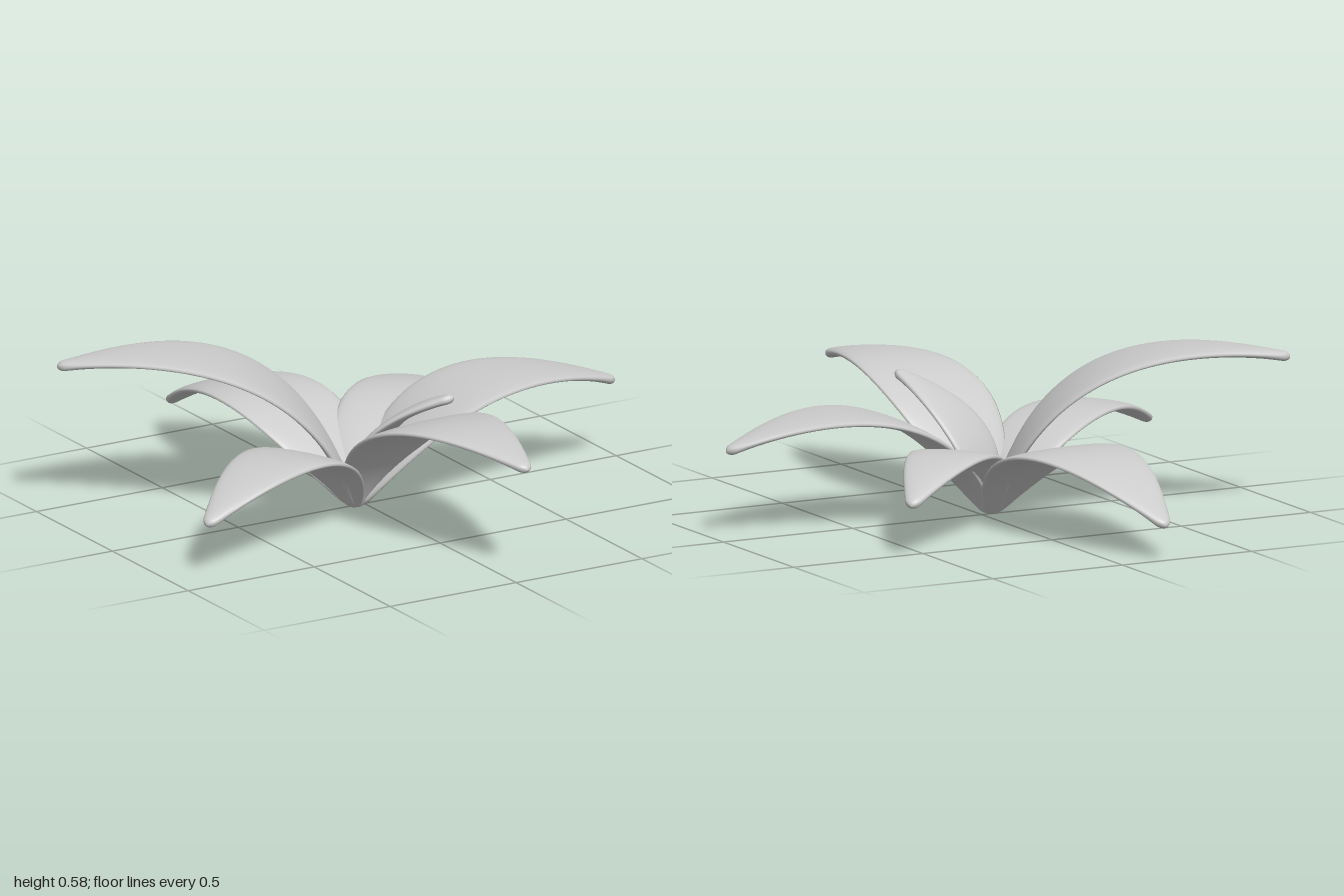
import * as THREE from 'three';

const RINGS = 48, SIDES = 24, HALF_THICK = 0.017;

// One petal growing along +z: an arched midrib swept with a flat rounded section
function petalGeometry(length, tipY, ctrlZ, ctrlY, halfWidth) {
  const rib = new THREE.QuadraticBezierCurve3(
    new THREE.Vector3(0, 0.012, 0.008),
    new THREE.Vector3(0, ctrlY, ctrlZ),
    new THREE.Vector3(0, tipY, length));
  const arc = rib.getLength();
  const cap = 0.025;
  const pos = [], index = [];
  for (let i = 0; i <= RINGS; i++) {
    const u = (1 - Math.cos(Math.PI * i / RINGS)) / 2;
    const p = rib.getPointAt(u), t = rib.getTangentAt(u);
    // Round off both ends
    const d = Math.min(1, Math.min(u, 1 - u) * arc / cap);
    const round = Math.sqrt(Math.max(0, 1 - (1 - d) ** 2));
    const blade = Math.max(0, Math.sin(Math.PI * u ** 0.85));
    const w = (0.02 + (halfWidth - 0.02) * blade) * round;
    const h = HALF_THICK * round;
    for (let j = 0; j < SIDES; j++) {
      const a = 2 * Math.PI * j / SIDES;
      const s = Math.sin(a);
      const n = h * Math.sign(s) * Math.abs(s) ** 0.8;
      pos.push(w * Math.cos(a), p.y + n * t.z, p.z - n * t.y);
      if (i < RINGS) {
        const k = (j + 1) % SIDES, r = i * SIDES, q = r + SIDES;
        index.push(r + j, r + k, q + j, r + k, q + k, q + j);
      }
    }
  }
  const geo = new THREE.BufferGeometry();
  geo.setAttribute('position', new THREE.Float32BufferAttribute(pos, 3));
  geo.setIndex(index);
  geo.computeVertexNormals();
  return geo;
}

export function createModel() {
  const flower = new THREE.Group();
  flower.name = 'flower';
  const material = new THREE.MeshStandardMaterial({ color: 0xcccccc });
  const cx = -0.04, cz = 0.01;

  // name, tip x, y, z, midrib control (outward, up), half width
  const petals = [
    ['backPetal', -0.17, 0.125, -1.0, 0.40, 0.52, 0.20],
    ['backLeftPetal', 0.57, 0.185, -0.545, 0.30, 0.46, 0.15],
    ['leftPetal', 0.955, 0.305, 0.06, 0.32, 0.58, 0.20],
    ['frontPetal', 0.05, 0.40, 0.995, 0.29, 0.60, 0.20],
    ['frontRightPetal', -0.865, 0.19, 0.40, 0.31, 0.48, 0.16],
    ['backRightPetal', -0.96, 0.54, -0.43, 0.20, 0.70, 0.21],
    ['innerPetal', 0.145, 0.46, 0.345, 0.0, 0.33, 0.118],
  ];
  for (const [name, x, y, z, ctrlZ, ctrlY, halfWidth] of petals) {
    const dx = x - cx, dz = z - cz;
    const mesh = new THREE.Mesh(
      petalGeometry(Math.hypot(dx, dz), y, ctrlZ, ctrlY, halfWidth), material);
    mesh.name = name;
    mesh.position.set(cx, 0, cz);
    mesh.rotation.y = Math.atan2(dx, dz);
    flower.add(mesh);
  }
  return flower;
}
